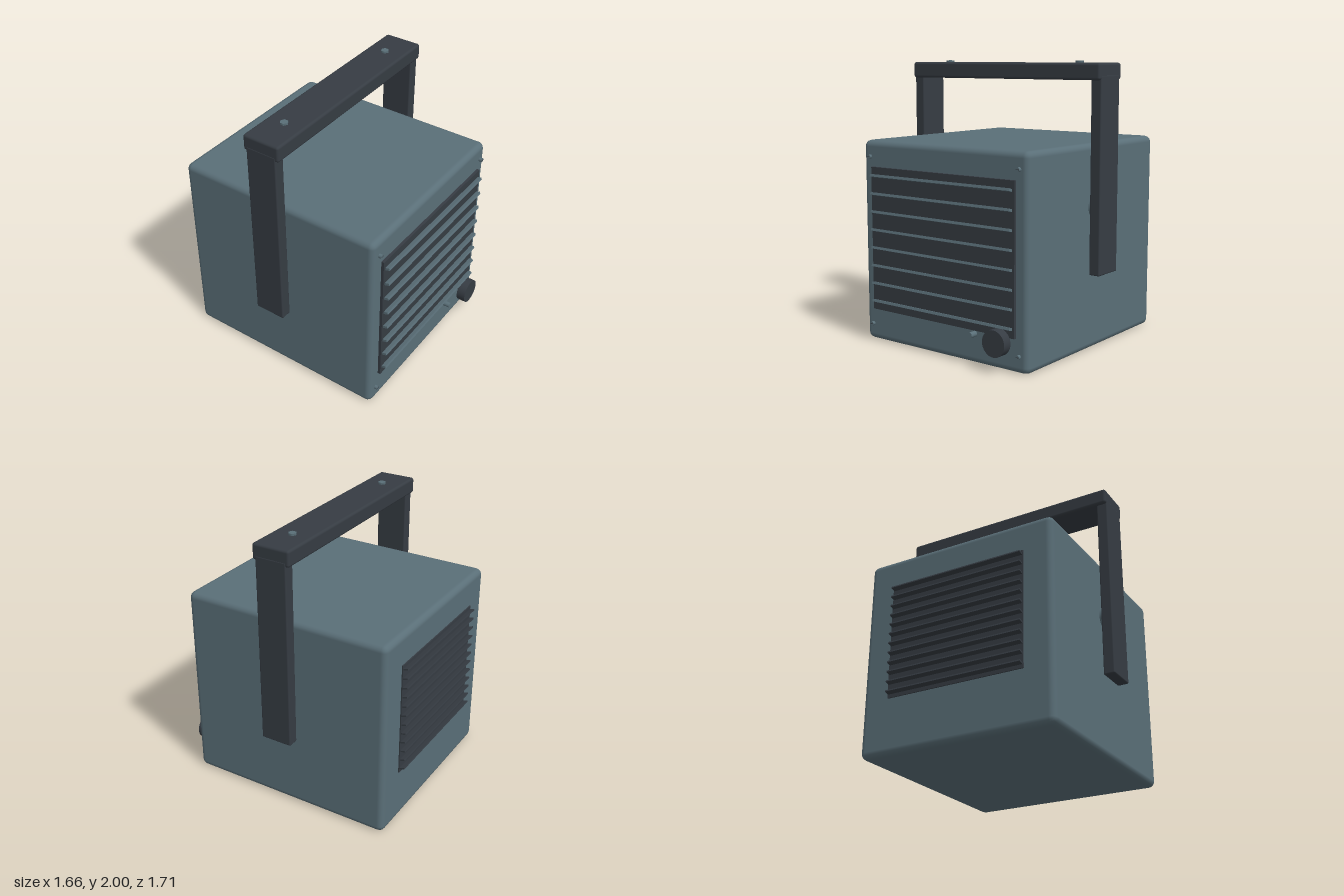
import * as THREE from 'three';
import { RoundedBoxGeometry } from 'three/addons/geometries/RoundedBoxGeometry.js';

export function createModel() {
  const model = new THREE.Group();
  model.name = 'portableHeater';

  const mat = (name, color) => {
    const m = new THREE.MeshStandardMaterial({ color });
    m.name = name;
    return m;
  };
  const shell = mat('slate blue shell', 0x5a6f78);
  const dark = mat('charcoal', 0x363c43);

  const add = (name, geometry, material, x, y, z, parent = model) => {
    const mesh = new THREE.Mesh(geometry, material);
    mesh.name = name;
    mesh.position.set(x, y, z);
    parent.add(mesh);
    return mesh;
  };
  const group = (name) => {
    const g = new THREE.Group();
    g.name = name;
    model.add(g);
    return g;
  };
  const box = (w, h, d) => new THREE.BoxGeometry(w, h, d);
  const rounded = (w, h, d, r) => new RoundedBoxGeometry(w, h, d, 2, r);
  // Disc facing +z
  const disc = (r, depth, sides) =>
    new THREE.CylinderGeometry(r, r, depth, sides).rotateX(Math.PI / 2);

  // Cabinet
  add('cabinet', rounded(1.45, 1.445, 1.57, 0.045), shell, 0, 0.7225, -0.027);

  // Front grille with tilted slats
  const front = group('frontGrille');
  add('frontPanel', box(1.26, 1.025, 0.03), dark, 0, 0.7475, 0.763, front);
  for (let i = 0; i < 8; i++) {
    const slat = add('frontSlat', box(1.225, 0.018, 0.042), shell, 0, 1.2 - i * 0.1285, 0.79, front);
    slat.rotation.x = -0.28;
  }

  // Rear vent with thinner, closer slats
  const rear = group('rearVent');
  add('rearPanel', box(1.03, 0.836, 0.02), dark, 0, 0.808, -0.81, rear);
  for (let i = 0; i < 12; i++) {
    const slat = add('rearSlat', box(1.02, 0.011, 0.045), dark, 0, 1.2 - i * 0.0705, -0.832, rear);
    slat.rotation.x = 0.28;
  }

  // Control knob and indicator lamp
  add('controlKnob', disc(0.091, 0.066, 32), dark, 0.52, 0.203, 0.825);
  add('knobShaft', disc(0.025, 0.05, 16), dark, 0.52, 0.203, 0.775);
  add('indicatorLamp', disc(0.02, 0.06, 20), shell, 0.288, 0.207, 0.784);

  // Slotted screws at the corners of the face
  const screws = group('faceScrews');
  for (const x of [-0.655, 0.655]) {
    for (const y of [0.118, 1.33]) {
      add('screwHead', disc(0.015, 0.025, 16), shell, x, y, 0.7675, screws);
      add('screwSlot', box(0.026, 0.004, 0.002), dark, x, y, 0.7805, screws);
    }
  }

  // Carrying handle: cross bar, two arms, pivots and hexagonal bolts
  const handle = group('handle');
  add('handleBar', rounded(1.66, 0.115, 0.28, 0.018), dark, 0, 1.929, -0.027, handle);
  for (const side of [-1, 1]) {
    add('handleArm', rounded(0.082, 1.36, 0.232, 0.01), dark, side * 0.791, 1.225, -0.027, handle);
    const pivot = new THREE.CylinderGeometry(0.09, 0.09, 0.06, 28).rotateZ(Math.PI / 2);
    add('handlePivot', pivot, shell, side * 0.737, 1.01, -0.027, handle);
    add('handleBolt', new THREE.CylinderGeometry(0.029, 0.029, 0.02, 6), shell, side * 0.582, 1.99, -0.03, handle);
  }

  return model;
}
